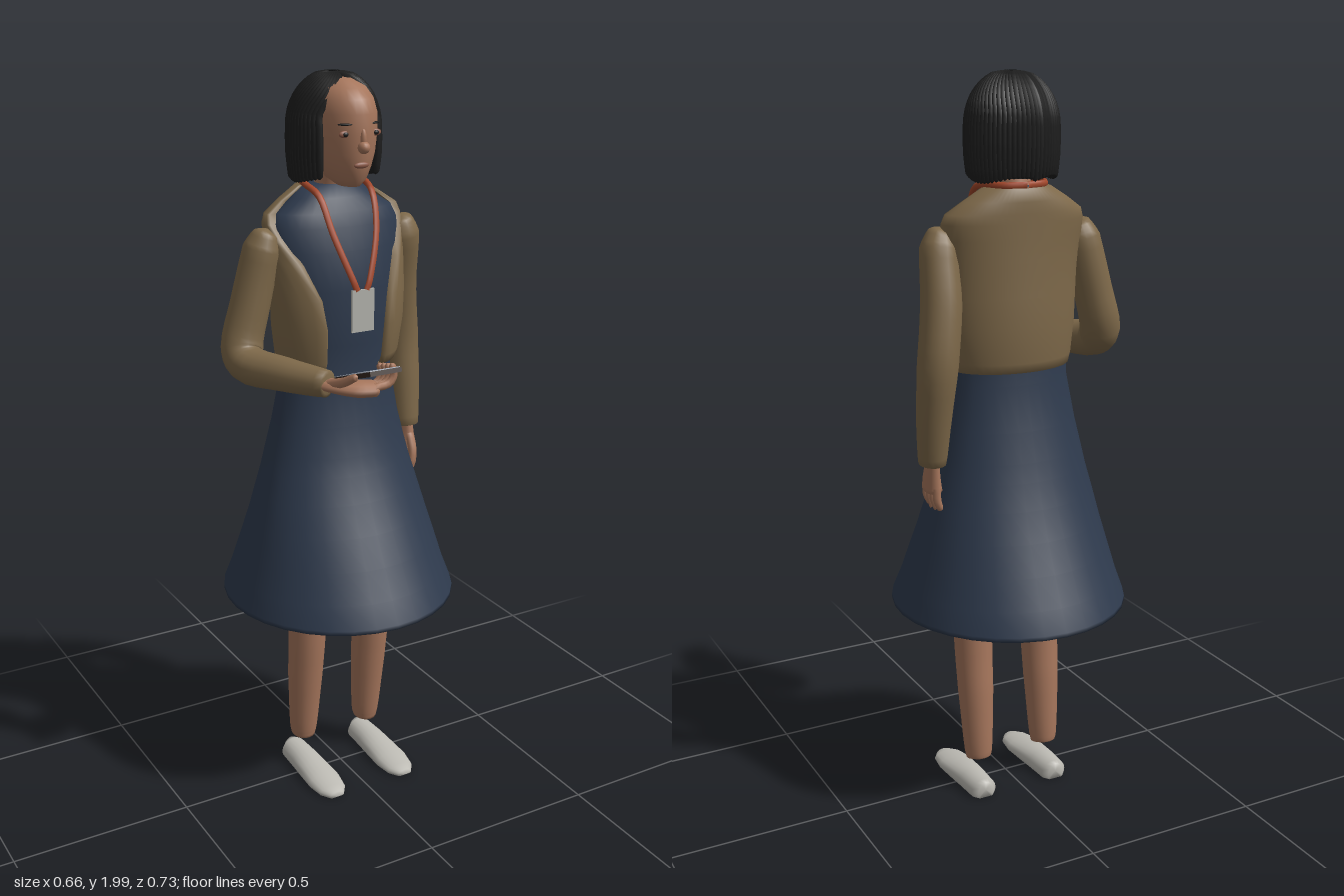
import * as THREE from 'three';
import { mergeVertices } from 'three/addons/utils/BufferGeometryUtils.js';

const mat = (name, color, side = THREE.FrontSide) => {
  const m = new THREE.MeshStandardMaterial({ color, side });
  m.name = name;
  return m;
};
const rad = THREE.MathUtils.degToRad, lerp = THREE.MathUtils.lerp;
const CX = 0.008; // body centre line

// Smooth skin over a grid of points f(column, row)
function surface(cols, rows, f) {
  const pos = [], idx = [];
  for (let j = 0; j <= rows; j++)
    for (let i = 0; i <= cols; i++) pos.push(...f(i, j));
  for (let j = 0; j < rows; j++)
    for (let i = 0; i < cols; i++) {
      const a = j * (cols + 1) + i, b = a + cols + 1;
      idx.push(a, a + 1, b, a + 1, b + 1, b);
    }
  let g = new THREE.BufferGeometry();
  g.setAttribute('position', new THREE.Float32BufferAttribute(pos, 3));
  g.setIndex(idx);
  g = mergeVertices(g, 1e-5);
  g.computeVertexNormals();
  return g;
}

// Stacked oval rings, bottom to top: [y, half width, front z, back z]
function loft(rings, sides = 28) {
  return surface(sides, rings.length - 1, (i, j) => {
    const [y, rx, zf, zb] = rings[j], a = ((i % sides) / sides) * Math.PI * 2;
    return [CX + rx * Math.sin(a), y, (zf + zb) / 2 + ((zf - zb) / 2) * Math.cos(a)];
  });
}

// Round limb through points [x, y, z, radius]; flat squashes the section
function limb(pts, sides = 12, steps = 4, flat = [1, 1, 1]) {
  const n = pts.length - 1, rows = n * steps;
  const curve = new THREE.CatmullRomCurve3(pts.map((p) => new THREE.Vector3(p[0], p[1], p[2])));
  const squash = new THREE.Vector3(...flat);
  const frames = [];
  let normal = new THREE.Vector3(0.31, 0.22, 0.93);
  for (let j = 0; j <= rows; j++) {
    const t = j / rows, k = Math.min(Math.floor(t * n), n - 1);
    const T = curve.getTangent(t);
    normal = normal.clone().addScaledVector(T, -normal.dot(T)).normalize();
    frames.push({ c: curve.getPoint(t), N: normal, B: T.clone().cross(normal), r: lerp(pts[k][3], pts[k + 1][3], t * n - k) });
  }
  return surface(sides, rows, (i, j) => {
    const { c, N, B, r } = frames[j], a = ((i % sides) / sides) * Math.PI * 2;
    return N.clone().multiplyScalar(Math.cos(a)).addScaledVector(B, Math.sin(a))
      .multiply(squash).multiplyScalar(r).add(c).toArray();
  });
}

export function createModel() {
  const root = new THREE.Group();
  root.name = 'standingWoman';
  const skin = mat('skin', 0xa6765c), hair = mat('hair', 0x1d1d1d, THREE.DoubleSide);
  const navy = mat('navyDress', 0x2e3a4d, THREE.DoubleSide), tan = mat('tanJacket', 0x7d6849, THREE.DoubleSide);
  const rust = mat('rustLanyard', 0xa4482b), card = mat('badgeGrey', 0xb4b4ae);
  const shoeGrey = mat('shoeGrey', 0xbcbab3), dark = mat('phoneDark', 0x35261f);
  const glass = mat('screenGrey', 0xa8b0bd), lip = mat('lipBrown', 0x8c5947);

  const add = (name, geometry, material, parent = root) => {
    const m = new THREE.Mesh(geometry, material);
    m.name = name;
    parent.add(m);
    return m;
  };
  const group = (name) => {
    const g = new THREE.Group();
    g.name = name;
    root.add(g);
    return g;
  };
  const blob = (name, material, p, s, parent = root) => {
    const m = add(name, new THREE.SphereGeometry(1, 14, 10), material, parent);
    m.position.set(...p);
    m.scale.set(...s);
    return m;
  };

  // Dress: flared skirt running up into the bodice
  add('dress', loft([
    [0.582, 0.31, 0.287, -0.347], [0.57, 0.322, 0.303, -0.363], [0.582, 0.322, 0.303, -0.363],
    [0.64, 0.302, 0.27, -0.334], [0.72, 0.28, 0.23, -0.297], [0.8, 0.258, 0.188, -0.26],
    [0.88, 0.237, 0.148, -0.228], [0.95, 0.217, 0.118, -0.204], [1.0, 0.205, 0.1, -0.19],
    [1.08, 0.186, 0.078, -0.168], [1.2, 0.164, 0.058, -0.143], [1.3, 0.16, 0.066, -0.14],
    [1.45, 0.17, 0.07, -0.135], [1.55, 0.185, 0.052, -0.135], [1.61, 0.187, 0.035, -0.135],
    [1.645, 0.17, 0.024, -0.132], [1.68, 0.115, 0.008, -0.13], [1.712, 0.08, -0.005, -0.125],
    [1.712, 0, -0.06, -0.06],
  ], 32), navy);

  // Jacket: open shell, [y, half width, front z, back z, half angle of opening]
  const shell = [
    [1.238, 0.155, 0.062, -0.14, 33], [1.235, 0.17, 0.078, -0.15, 32], [1.26, 0.177, 0.09, -0.156, 31],
    [1.35, 0.189, 0.1, -0.158, 30], [1.43, 0.193, 0.096, -0.153, 34], [1.52, 0.197, 0.074, -0.148, 48],
    [1.58, 0.202, 0.048, -0.147, 63], [1.62, 0.203, 0.03, -0.146, 73], [1.645, 0.194, 0.02, -0.146, 78],
    [1.675, 0.15, 0.005, -0.145, 80], [1.708, 0.095, -0.008, -0.14, 80], [1.71, 0.075, -0.02, -0.125, 80],
  ];
  const jc = 36;
  add('jacketBody', surface(jc, shell.length - 1, (i, j) => {
    const [y, rx, zf, zb, open] = shell[j];
    const u = THREE.MathUtils.clamp((i - 1) / (jc - 2), 0, 1);
    const inset = i === 0 || i === jc ? 0.9 : 1; // turned-in front edges
    const a = rad(lerp(open, 360 - open, u));
    return [CX + rx * inset * Math.sin(a), y, (zf + zb) / 2 + ((zf - zb) / 2) * inset * Math.cos(a)];
  }), tan);

  // Sleeves
  add('leftSleeve', limb([
    [0.2, 1.612, -0.04, 0], [0.206, 1.6, -0.04, 0.032], [0.214, 1.56, -0.045, 0.05], [0.226, 1.42, -0.08, 0.054],
    [0.247, 1.27, -0.1, 0.054], [0.253, 1.13, -0.085, 0.047], [0.251, 1.0, -0.066, 0.037], [0.251, 0.992, -0.065, 0],
  ], 16), tan);
  add('rightSleeve', limb([
    [-0.19, 1.612, -0.04, 0], [-0.196, 1.6, -0.04, 0.032], [-0.206, 1.56, -0.045, 0.05], [-0.24, 1.42, -0.05, 0.053],
    [-0.27, 1.31, -0.043, 0.056], [-0.274, 1.275, -0.01, 0.052], [-0.222, 1.265, 0.1, 0.045],
    [-0.158, 1.26, 0.212, 0.035], [-0.155, 1.26, 0.218, 0],
  ], 16), tan);

  // Left hand, hanging
  const lh = group('leftHand');
  add('palm', limb([[0.251, 1.02, -0.067, 0.026], [0.25, 0.97, -0.06, 0.032], [0.247, 0.925, -0.053, 0.04],
    [0.245, 0.905, -0.052, 0]], 12, 4, [0.6, 1, 1]), skin, lh);
  for (let i = 0; i < 4; i++) {
    const z = -0.085 + i * 0.022, tip = 0.87 - 0.005 * (i % 3);
    add('finger', limb([[0.248, 0.935, z, 0.011], [0.247, 0.9, z, 0.011], [0.238, tip + 0.006, z, 0.009], [0.236, tip, z, 0]], 8, 3), skin, lh);
  }
  add('thumb', limb([[0.25, 0.975, -0.04, 0.013], [0.243, 0.935, -0.012, 0.012], [0.234, 0.9, -0.005, 0.009], [0.232, 0.893, -0.005, 0]], 8, 3), skin, lh);

  // Right hand, cradling the phone
  const rh = group('rightHand');
  add('palm', limb([[-0.168, 1.26, 0.195, 0.028], [-0.14, 1.257, 0.235, 0.034], [-0.1, 1.253, 0.262, 0.042],
    [-0.06, 1.25, 0.27, 0.04], [-0.045, 1.25, 0.27, 0]], 12, 4, [1, 0.5, 1]), skin, rh);
  for (let i = 0; i < 4; i++) {
    const z = 0.236 + i * 0.02, y = 1.245 + i * 0.005;
    add('finger', limb([[-0.07, y, z, 0.01], [-0.03, y + 0.004, z, 0.011], [-0.014, y + 0.026, z, 0.01],
      [-0.02, y + 0.05, z, 0.009], [-0.024, y + 0.057, z, 0]], 8, 3), skin, rh);
  }
  add('thumb', limb([[-0.158, 1.262, 0.225, 0.015], [-0.145, 1.278, 0.27, 0.013], [-0.131, 1.298, 0.305, 0.01], [-0.128, 1.3, 0.313, 0]], 8, 3), skin, rh);

  // Phone
  const phone = group('phone');
  add('phoneBody', new THREE.BoxGeometry(0.09, 0.012, 0.194), dark, phone);
  add('phoneScreen', new THREE.BoxGeometry(0.085, 0.003, 0.188), glass, phone).position.y = 0.0065;
  phone.position.set(-0.078, 1.288, 0.271);
  phone.rotation.x = -0.34;

  // Legs and shoes
  for (const [side, lx, sx] of [['left', 0.113, 0.122], ['right', -0.097, -0.105]]) {
    add(side + 'Leg', limb([[lx, 0.097, -0.052, 0], [lx, 0.1, -0.051, 0.035], [lx, 0.12, -0.05, 0.039], [lx, 0.3, -0.035, 0.05],
      [lx, 0.42, -0.023, 0.053], [lx, 0.6, -0.014, 0.056], [lx, 0.85, -0.02, 0.065], [lx, 0.86, -0.02, 0]], 18), skin);
    const last = [[-0.113, 0, 0.044], [-0.115, 0.024, 0.046], [-0.1, 0.038, 0.05], [-0.03, 0.042, 0.05], [0.03, 0.046, 0.043],
      [0.09, 0.049, 0.034], [0.14, 0.041, 0.024], [0.167, 0.022, 0.017], [0.175, 0, 0.014]];
    add(side + 'Shoe', surface(20, last.length - 1, (i, j) => {
      const [z, w, h] = last[j], a = ((i % 20) / 20) * Math.PI * 2;
      const tall = w === 0 ? 0.5 : THREE.MathUtils.clamp(0.3 + 0.7 * Math.sin(a), 0, 1); // flat sole
      return [sx + w * Math.cos(a), h * tall, z];
    }), shoeGrey);
  }

  // Neck, head and face
  add('neck', limb([[CX, 1.66, -0.07, 0.048], [CX, 1.72, -0.06, 0.044], [CX, 1.78, -0.045, 0.044]], 16), skin);
  add('head', loft([
    [1.712, 0, 0.035, 0.035], [1.717, 0.026, 0.068, -0.015], [1.735, 0.047, 0.083, -0.06], [1.765, 0.064, 0.093, -0.095],
    [1.8, 0.076, 0.1, -0.115], [1.85, 0.084, 0.104, -0.13], [1.9, 0.084, 0.104, -0.135], [1.935, 0.076, 0.092, -0.13],
    [1.96, 0.06, 0.07, -0.12], [1.98, 0.03, 0.02, -0.08], [1.985, 0, -0.03, -0.03],
  ]), skin);
  blob('nose', skin, [CX, 1.82, 0.104], [0.016, 0.016, 0.018]);
  blob('noseBridge', skin, [CX, 1.84, 0.1], [0.009, 0.028, 0.011]);
  blob('lips', lip, [CX, 1.775, 0.094], [0.022, 0.008, 0.006]);
  for (const s of [-1, 1]) {
    blob('eyeSocket', lip, [CX + s * 0.044, 1.853, 0.086], [0.017, 0.009, 0.006]);
    blob('eye', hair, [CX + s * 0.044, 1.853, 0.09], [0.008, 0.006, 0.005]);
    const brow = blob('eyebrow', hair, [CX + s * 0.044, 1.877, 0.087], [0.019, 0.003, 0.006]);
    brow.rotation.y = s * 0.45;
  }

  // Hair: cap, back lining and hanging locks
  const locks = group('hair'), hz = -0.05;
  blob('hairCap', hair, [CX, 1.86, hz], [0.11, 0.131, 0.116], locks);
  const lining = add('hairLining', new THREE.CylinderGeometry(1, 0.97, 0.13, 30, 1, true, rad(55), rad(250)), hair, locks);
  lining.position.set(CX, 1.8, hz);
  lining.scale.set(0.108, 1, 0.115);
  const count = 46;
  for (let i = 0; i < count; i++) {
    const a0 = ((i + 0.5) / count) * 2 - 1; // -1..1, zero at the front parting
    const a1 = Math.sign(a0) * (46 + 134 * Math.abs(a0));
    const tip = 1.727 + 0.008 * Math.sin(i * 12.9), pts = [];
    for (let k = 0; k <= 5; k++) {
      const p = rad(8 + 82 * (k / 5)), az = rad(lerp(a0 * 180, a1, Math.min(1, k / 4)));
      pts.push([CX + 0.113 * Math.sin(p) * Math.sin(az), 1.86 + 0.13 * Math.cos(p), hz + 0.118 * Math.sin(p) * Math.cos(az), k ? 0.0115 : 0.006]);
    }
    const az = rad(a1);
    for (const [y, s, r] of [[1.79, 1, 0.0115], [tip + 0.008, 0.97, 0.009], [tip, 0.97, 0]])
      pts.push([CX + 0.113 * s * Math.sin(az), y, hz + 0.118 * s * Math.cos(az), r]);
    add('lock', limb(pts, 6, 2), hair, locks);
  }

  // Lanyard and badge
  const lanyard = group('lanyard');
  for (const s of [-1, 1])
    add('strap', limb([[0.014, 1.455, 0.1], [0.024, 1.48, 0.098], [0.064, 1.6, 0.062], [0.078, 1.69, 0.016],
      [0.084, 1.714, -0.05], [0.06, 1.716, -0.115], [0, 1.716, -0.135]].map(([x, y, z]) => [CX + s * x, y, z, 0.009]), 8, 5, [1, 1, 0.5]), rust, lanyard);
  add('badge', new THREE.BoxGeometry(0.066, 0.112, 0.006), card, lanyard).position.set(0.01, 1.402, 0.1);

  return root;
}
